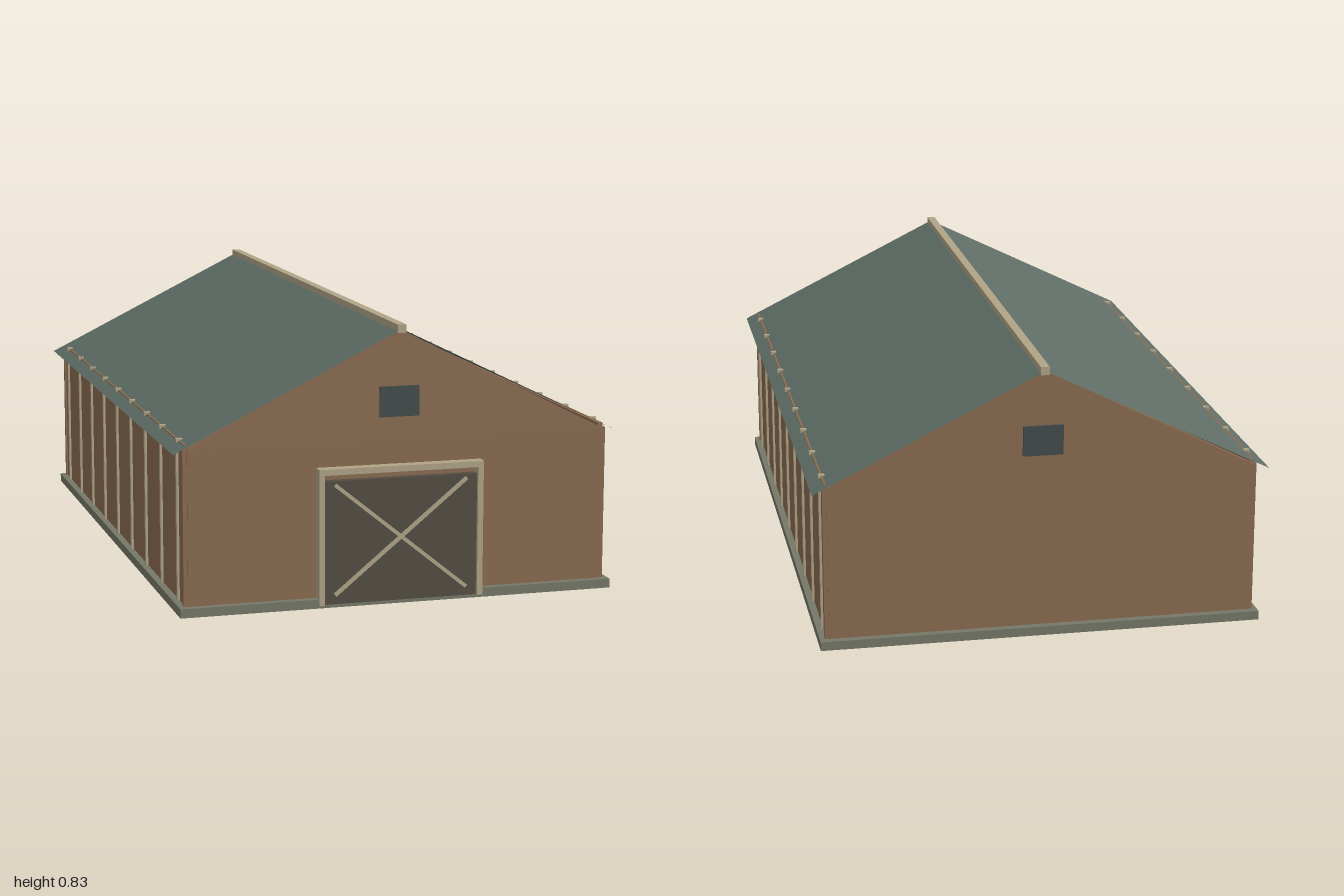
import * as THREE from 'three';

const mat = (color, extra = {}) => {
  const m = new THREE.MeshStandardMaterial({ color, ...extra });
  return m;
};

export function createModel() {
  const barn = new THREE.Group();
  barn.name = 'barn';
  const wood = mat(0x8a6b50);
  const trim = mat(0xb0a386);
  const stone = mat(0x757867);
  const dark = mat(0x524c41);
  const slate = mat(0x414c4b);
  const roofMat = mat(0x5f6e66, { side: THREE.DoubleSide });
  const ZC = -0.006; // centre of the building behind the protruding door frame

  // Box given by its minimum and maximum on each axis
  const box = (name, material, [x0, x1], [y0, y1], [z0, z1]) => {
    const mesh = new THREE.Mesh(new THREE.BoxGeometry(x1 - x0, y1 - y0, z1 - z0), material);
    mesh.position.set((x0 + x1) / 2, (y0 + y1) / 2, (z0 + z1) / 2);
    mesh.name = name;
    barn.add(mesh);
    return mesh;
  };

  // Foundation slab
  box('foundation', stone, [-0.663, 0.663], [0, 0.027], [-1, 0.988]);

  // Long walls, with battens whose tips pass through the roof
  for (const s of [-1, 1]) {
    const span = (a, b) => (s > 0 ? [a, b] : [-b, -a]);
    box('sideWall', wood, span(0.627, 0.642), [0.027, 0.502], [ZC - 0.962, ZC + 0.962]);
    for (let i = -4; i <= 4; i++) {
      const z = ZC + i * 0.2215;
      box('batten', trim, span(0.63, 0.649), [0.027, 0.507], [z - 0.007, z + 0.007]);
    }
    for (const e of [-1, 1]) {
      const z = ZC + e * 0.962;
      box('cornerPost', wood, span(0.634, 0.648), [0.027, 0.49], [z - 0.007, z + 0.007]);
    }
  }

  // End walls, gables and loft vents
  for (const e of [-1, 1]) {
    const z = ZC + e * 0.962;
    box('endWall', wood, [-0.635, 0.635], [0.027, 0.49], [z - 0.009, z + 0.009]);

    const triangle = new THREE.Shape([
      new THREE.Vector2(-0.635, 0.49),
      new THREE.Vector2(0.635, 0.49),
      new THREE.Vector2(0, 0.812),
    ]);
    const gable = new THREE.Mesh(
      new THREE.ExtrudeGeometry(triangle, { depth: 0.016, bevelEnabled: false }), wood);
    gable.position.z = z - 0.008;
    gable.name = 'gable';
    barn.add(gable);

    const v = z + e * 0.009;
    box('loftVent', slate, [-0.06, 0.06], [0.555, 0.645], [v - 0.006, v + 0.006]);
  }

  // Thin roof sheets and the ridge cap
  const rise = 0.335, run = 0.68;
  for (const s of [-1, 1]) {
    const geo = new THREE.PlaneGeometry(Math.hypot(rise, run), 1.988);
    geo.rotateX(-Math.PI / 2);
    geo.rotateZ(-s * Math.atan2(rise, run));
    const sheet = new THREE.Mesh(geo, roofMat);
    sheet.position.set(s * run / 2, 0.815 - rise / 2, ZC);
    sheet.name = 'roofSheet';
    barn.add(sheet);
  }
  box('ridgeCap', trim, [-0.013, 0.013], [0.803, 0.828], [-1, 0.988]);

  // Barn door with frame and crossed braces
  box('door', dark, [-0.235, 0.235], [0.01, 0.377], [0.96, 0.989]);
  for (const s of [-1, 1]) {
    box('doorPost', trim, [s * 0.243 - 0.0085, s * 0.243 + 0.0085], [0.01, 0.415], [0.96, 1]);
    const brace = new THREE.Mesh(new THREE.BoxGeometry(0.52, 0.011, 0.01), trim);
    brace.position.set(0, 0.202, 0.991);
    brace.rotation.z = s * Math.atan2(0.33, 0.405);
    brace.name = 'doorBrace';
    barn.add(brace);
  }
  box('doorLintel', trim, [-0.252, 0.252], [0.397, 0.415], [0.96, 1]);

  return barn;
}
